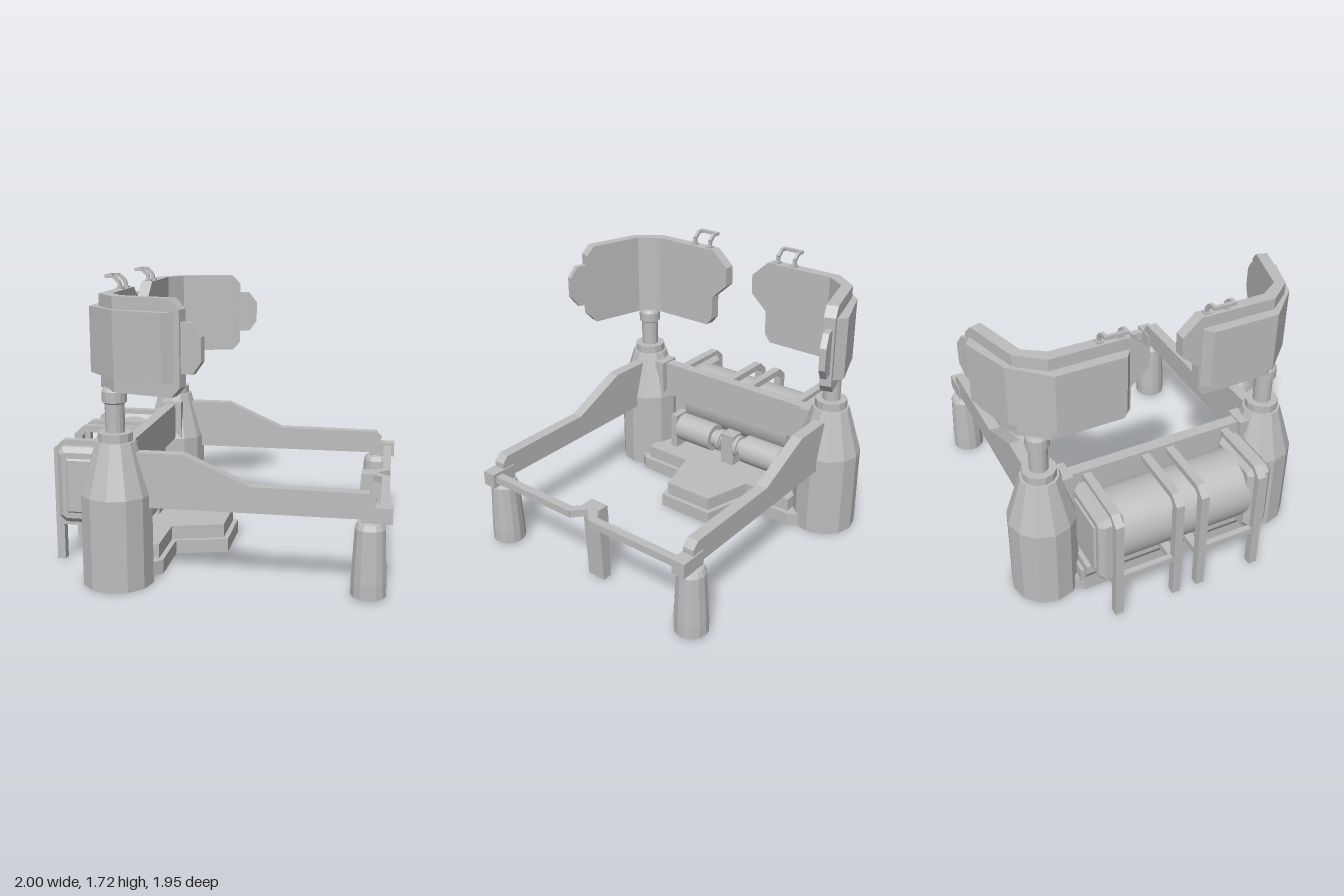
import * as THREE from 'three';

export function createModel() {
  const root = new THREE.Group();
  root.name = 'consoleRig';
  const grey = new THREE.MeshStandardMaterial({ color: 0xbdbdbd });
  grey.name = 'plain grey';

  const add = (name, geo) => {
    const m = new THREE.Mesh(geo, grey);
    m.name = name;
    root.add(m);
    return m;
  };
  const flat = (geo) => {
    const g = geo.index ? geo.toNonIndexed() : geo;
    g.computeVertexNormals();
    return g;
  };
  // box from its limits on each axis
  const box = (name, x0, x1, y0, y1, z0, z1) => {
    const m = add(name, new THREE.BoxGeometry(x1 - x0, y1 - y0, Math.abs(z1 - z0)));
    m.position.set((x0 + x1) / 2, (y0 + y1) / 2, (z0 + z1) / 2);
    return m;
  };
  // square bar between two points
  const bar = (name, a, b, w, h = w) => {
    const p = new THREE.Vector3(...a), q = new THREE.Vector3(...b);
    const m = add(name, new THREE.BoxGeometry(w, h, p.distanceTo(q)));
    m.position.copy(p).add(q).multiplyScalar(0.5);
    m.lookAt(q);
    return m;
  };
  const poly = (pts) => new THREE.Shape(pts.map((p) => new THREE.Vector2(...p)));
  // profile in x/y, extruded over z
  const slab = (name, pts, z0, z1, bevel = 0) => {
    const geo = new THREE.ExtrudeGeometry(poly(pts), {
      depth: z1 - z0 - 2 * bevel, bevelEnabled: bevel > 0, bevelThickness: bevel,
      bevelSize: bevel, bevelOffset: -bevel, bevelSegments: 1,
    });
    geo.translate(0, 0, z0 + bevel);
    return add(name, geo);
  };
  // plan outline in x/z, extruded over y
  const deck = (name, pts, y0, y1) => {
    const geo = new THREE.ExtrudeGeometry(poly(pts.map(([x, z]) => [x, -z])), { depth: y1 - y0, bevelEnabled: false });
    geo.rotateX(-Math.PI / 2);
    geo.translate(0, y0, 0);
    return add(name, geo);
  };
  // upright folded sheet: stations [innerX, innerZ, outerX, outerZ, bottom, top]
  const fold = (name, stations, s) => {
    const rings = stations.map(([ix, iz, ox, oz, lo, hi]) =>
      [[ix, lo, iz * s], [ox, lo, oz * s], [ox, hi, oz * s], [ix, hi, iz * s]]);
    const pos = [];
    const tri = (a, b, c) => pos.push(...a, ...(s > 0 ? [...b, ...c] : [...c, ...b]));
    const quad = (a, b, c, d) => { tri(a, b, c); tri(a, c, d); };
    for (let i = 0; i + 1 < rings.length; i++) {
      for (let j = 0; j < 4; j++) {
        const k = (j + 1) % 4;
        quad(rings[i][j], rings[i + 1][j], rings[i + 1][k], rings[i][k]);
      }
    }
    quad(...rings[0]);
    quad(...rings[rings.length - 1].slice().reverse());
    const geo = new THREE.BufferGeometry();
    geo.setAttribute('position', new THREE.Float32BufferAttribute(pos, 3));
    geo.computeVertexNormals();
    return add(name, geo);
  };
  const turned = (name, profile, sides, x, z) => {
    const geo = new THREE.LatheGeometry(profile.map((p) => new THREE.Vector2(...p)), sides);
    const m = add(name, flat(geo));
    m.position.set(x, 0, z);
    return m;
  };
  const drum = (name, r, x, y, z0, z1) => {
    const geo = new THREE.CylinderGeometry(r, r, Math.abs(z1 - z0), 28);
    geo.rotateX(Math.PI / 2);
    const m = add(name, geo);
    m.position.set(x, y, (z0 + z1) / 2);
  };

  for (const s of [1, -1]) {
    const zc = s * 0.73;

    // tower and its post
    turned('tower', [[0, 0], [0.205, 0], [0.205, 0.53], [0.115, 0.83], [0.1, 0.83], [0.1, 0.88],
      [0.075, 0.88], [0, 0.88]], 12, -0.54, zc);
    turned('post', [[0, 0.85], [0.055, 0.85], [0.055, 1.04], [0.07, 1.05], [0.07, 1.11], [0.06, 1.13],
      [0, 1.13]], 16, -0.54, zc);

    // folded screen, its backing plate and end tab
    fold('screen', [
      [-0.56, 0.10, -0.63, 0.10, 1.42, 1.54],
      [-0.56, 0.21, -0.63, 0.21, 1.32, 1.64],
      [-0.56, 0.211, -0.63, 0.211, 1.17, 1.64],
      [-0.56, 0.25, -0.63, 0.25, 1.12, 1.64],
      [-0.56, 0.65, -0.63, 0.68, 1.12, 1.64],
      [-0.48, 0.77, -0.51, 0.83, 1.12, 1.64],
      [-0.15, 0.865, -0.17, 0.93, 1.12, 1.64],
      [-0.10, 0.88, -0.12, 0.945, 1.175, 1.585],
    ], s);
    fold('screenBacking', [
      [-0.63, 0.22, -0.635, 0.22, 1.2, 1.57],
      [-0.63, 0.26, -0.69, 0.26, 1.2, 1.57],
      [-0.63, 0.67, -0.69, 0.67, 1.2, 1.57],
      [-0.51, 0.82, -0.50, 0.87, 1.2, 1.57],
      [-0.19, 0.92, -0.21, 0.975, 1.2, 1.57],
      [-0.145, 0.925, -0.15, 0.935, 1.2, 1.57],
    ], s);
    fold('screenTab', [
      [-0.13, 0.89, -0.14, 0.925, 1.25, 1.52],
      [-0.04, 0.915, -0.05, 0.95, 1.25, 1.52],
      [0.01, 0.93, 0.0, 0.965, 1.32, 1.45],
    ], s);

    // grab handle on the screen's top edge
    const bend = [[-0.595, 1.63], [-0.6, 1.68], [-0.635, 1.713], [-0.685, 1.713]];
    for (const z of [0.26, 0.38]) {
      for (let i = 0; i < 3; i++) bar('handleLeg', [...bend[i], s * z], [...bend[i + 1], s * z], 0.02);
      box('handleFoot', -0.615, -0.575, 1.635, 1.65, s * (z - 0.018), s * (z + 0.018));
    }
    bar('handleGrip', [-0.675, 1.713, s * 0.25], [-0.675, 1.713, s * 0.39], 0.02);

    // long side arm, end block and front leg
    slab('sideArm', [[-0.5, 0.455], [0.91, 0.455], [0.91, 0.56], [0.87, 0.6], [0.22, 0.605],
      [-0.15, 0.77], [-0.5, 0.77]], zc - 0.035, zc + 0.035);
    box('armEndBlock', 0.83, 1.0, 0.435, 0.525, zc - 0.043, zc + 0.043);
    turned('frontLeg', [[0, 0.015], [0.1, 0.015], [0.1, 0.1], [0.085, 0.4], [0.07, 0.43], [0, 0.45]],
      14, 0.88, zc);

    // front crossbar half with its inward kink
    bar('frontBar', [0.955, 0.485, s * 0.7], [0.955, 0.485, s * 0.075], 0.05, 0.045);
    bar('frontBarKink', [0.96, 0.485, s * 0.09], [0.87, 0.485, s * 0.005], 0.05, 0.045);

    // beam bracket, motor drum, neck and cheek plate
    box('beamBracket', -0.6, -0.46, 0.52, 0.785, s * 0.55, s * 0.62);
    drum('motorDrum', 0.095, -0.515, 0.32, s * 0.13, s * 0.41);
    drum('motorNeck', 0.06, -0.515, 0.32, s * 0.05, s * 0.13);
    drum('motorCollar', 0.075, -0.515, 0.32, s * 0.06, s * 0.085);
    box('motorCheek', -0.6, -0.45, 0.17, 0.42, s * 0.42, s * 0.47);

    // tank end block with chamfered edges
    const z = [s * 0.4, s * 0.555].sort((a, b) => a - b);
    slab('tankEnd', [[-0.96, 0.3], [-0.92, 0.265], [-0.6, 0.265], [-0.57, 0.3], [-0.57, 0.69],
      [-0.6, 0.725], [-0.93, 0.725], [-0.96, 0.69]], z[0], z[1], 0.03);
    const pad = [s * 0.54, s * 0.565].sort((a, b) => a - b);
    slab('tankEndPad', [[-0.9, 0.33], [-0.63, 0.33], [-0.63, 0.66], [-0.9, 0.66]], pad[0], pad[1], 0.01);

    // tank straps running down into rear legs
    for (const c of [0.08, 0.455]) {
      slab('tankStrap', [[-1, 0.01], [-0.95, 0.01], [-0.95, 0.23], [-0.58, 0.23], [-0.58, 0.27],
        [-0.95, 0.27], [-0.95, 0.69], [-0.92, 0.715], [-0.56, 0.715], [-0.56, 0.755],
        [-0.94, 0.755], [-1, 0.7]], s * c - 0.026, s * c + 0.026);
    }
    box('tankRail', -0.985, -0.95, 0.26, 0.3, s * 0.1, s * 0.44);
  }

  // barrel of the rear tank
  drum('tankBarrel', 0.21, -0.75, 0.5, -0.42, 0.42);

  // crossbeam between the towers
  box('crossBeam', -0.57, -0.5, 0.54, 0.775, -0.6, 0.6);
  box('motorShaftBlock', -0.56, -0.47, 0.18, 0.4, -0.05, 0.05);

  // stepped base with a tapered nose
  deck('baseLower', [[-0.74, -0.56], [-0.62, -0.66], [-0.36, -0.66], [-0.31, -0.6], [-0.31, -0.27],
    [0, -0.19], [0, 0.19], [-0.31, 0.27], [-0.31, 0.6], [-0.36, 0.66], [-0.62, 0.66], [-0.74, 0.56]], 0.005, 0.09);
  deck('baseUpper', [[-0.74, -0.58], [-0.34, -0.58], [-0.34, -0.255], [-0.03, -0.165], [-0.03, 0.165],
    [-0.34, 0.255], [-0.34, 0.58], [-0.74, 0.58]], 0.09, 0.175);
  slab('rearLedge', [[-0.78, 0.175], [-0.74, 0.11], [-0.58, 0.11], [-0.58, 0.23], [-0.78, 0.23]], -0.56, 0.56);

  // middle leg under the front crossbar
  slab('middleLeg', [[0.8, 0.015], [0.86, 0.015], [0.88, 0.45], [0.88, 0.51], [0.805, 0.51], [0.8, 0.45]],
    -0.06, 0.06);

  return root;
}
